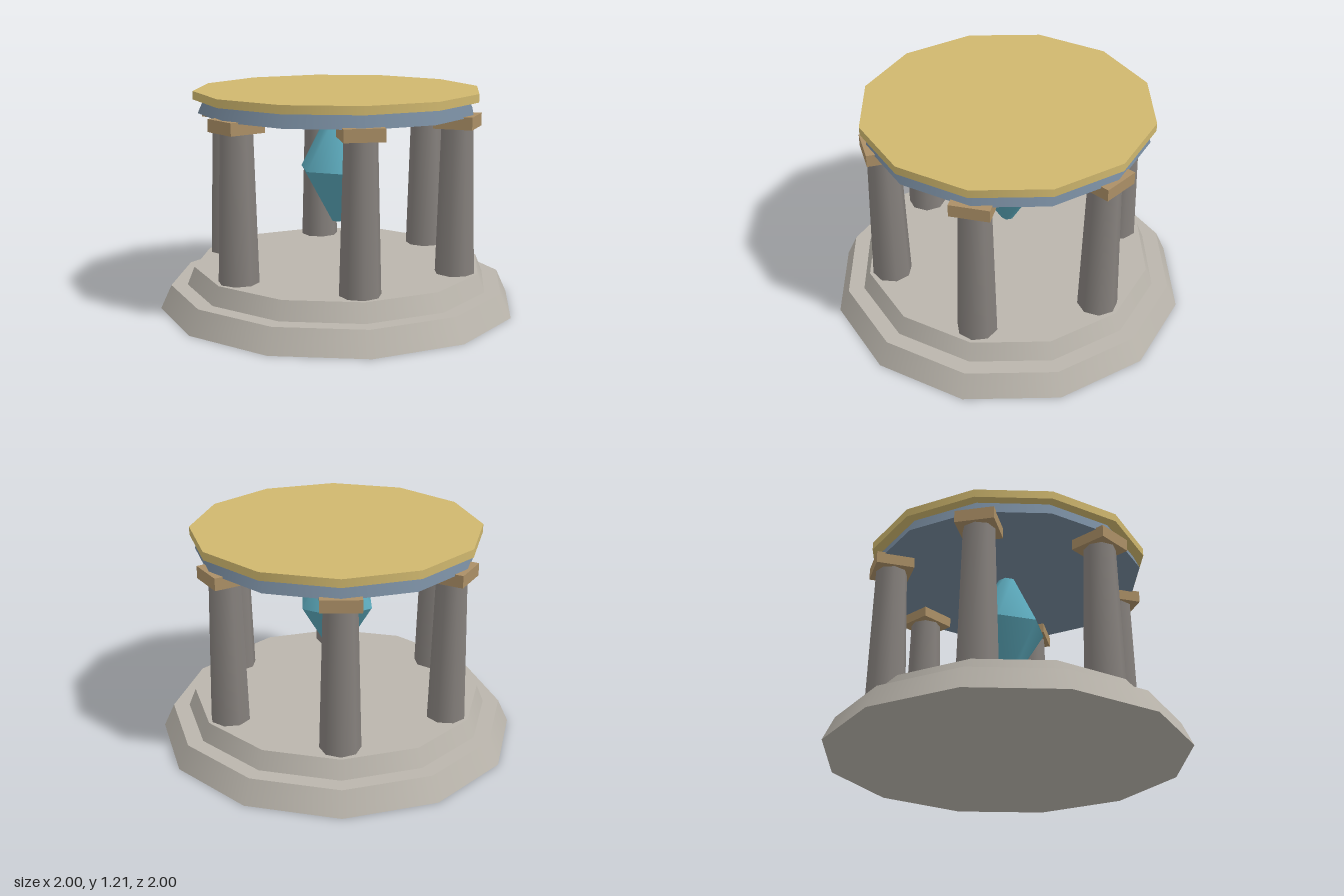
import * as THREE from 'three';

const material = (name, color) => {
  const m = new THREE.MeshStandardMaterial({ color });
  m.name = name;
  return m;
};

export function createModel() {
  const pale = material('pale stone', 0xbab5ac);
  const grey = material('grey stone', 0x85807c);
  const tan = material('tan stone', 0xab8f66);
  const slate = material('slate blue', 0x74879a);
  const gold = material('gold', 0xcfb76e);
  const teal = material('teal crystal', 0x5aa6b8);

  const model = new THREE.Group();
  model.name = 'pavilion';

  const add = (name, geometry, mat, parent = model) => {
    const mesh = new THREE.Mesh(geometry, mat);
    mesh.name = name;
    parent.add(mesh);
    return mesh;
  };

  // Tapered prism between two heights
  const drum = (name, mat, rBottom, rTop, y0, y1, sides, parent) => {
    const g = new THREE.CylinderGeometry(rTop, rBottom, y1 - y0, sides);
    g.translate(0, (y0 + y1) / 2, 0);
    return add(name, g, mat, parent);
  };

  // Stepped twelve-sided base
  drum('lowerStep', pale, 1, 0.94, 0, 0.13, 12);
  drum('upperStep', pale, 0.85, 0.81, 0.13, 0.23, 12);

  // Ring of six columns with square capitals
  for (let i = 0; i < 6; i++) {
    const column = new THREE.Group();
    column.name = `column${i + 1}`;
    column.rotation.y = (i * Math.PI) / 3;
    model.add(column);
    const shaft = drum('shaft', grey, 0.11, 0.088, 0.23, 1.03, 8, column);
    const capital = add('capital', new THREE.BoxGeometry(0.212, 0.068, 0.212), tan, column);
    shaft.position.z = 0.68;
    capital.position.set(0, 1.064, 0.68);
  }

  // Roof: tapered ceiling slab under a flat gold disc
  drum('ceilingSlab', slate, 0.77, 0.735, 1.09, 1.17, 12);
  drum('roofDisc', gold, 0.795, 0.795, 1.165, 1.21, 12);

  // Hanging six-sided crystal
  const crystal = new THREE.Group();
  crystal.name = 'crystal';
  model.add(crystal);
  drum('crystalTop', teal, 0.22, 0.045, 0.767, 1.1, 6, crystal);
  drum('crystalBottom', teal, 0.036, 0.218, 0.465, 0.767, 6, crystal);

  return model;
}
